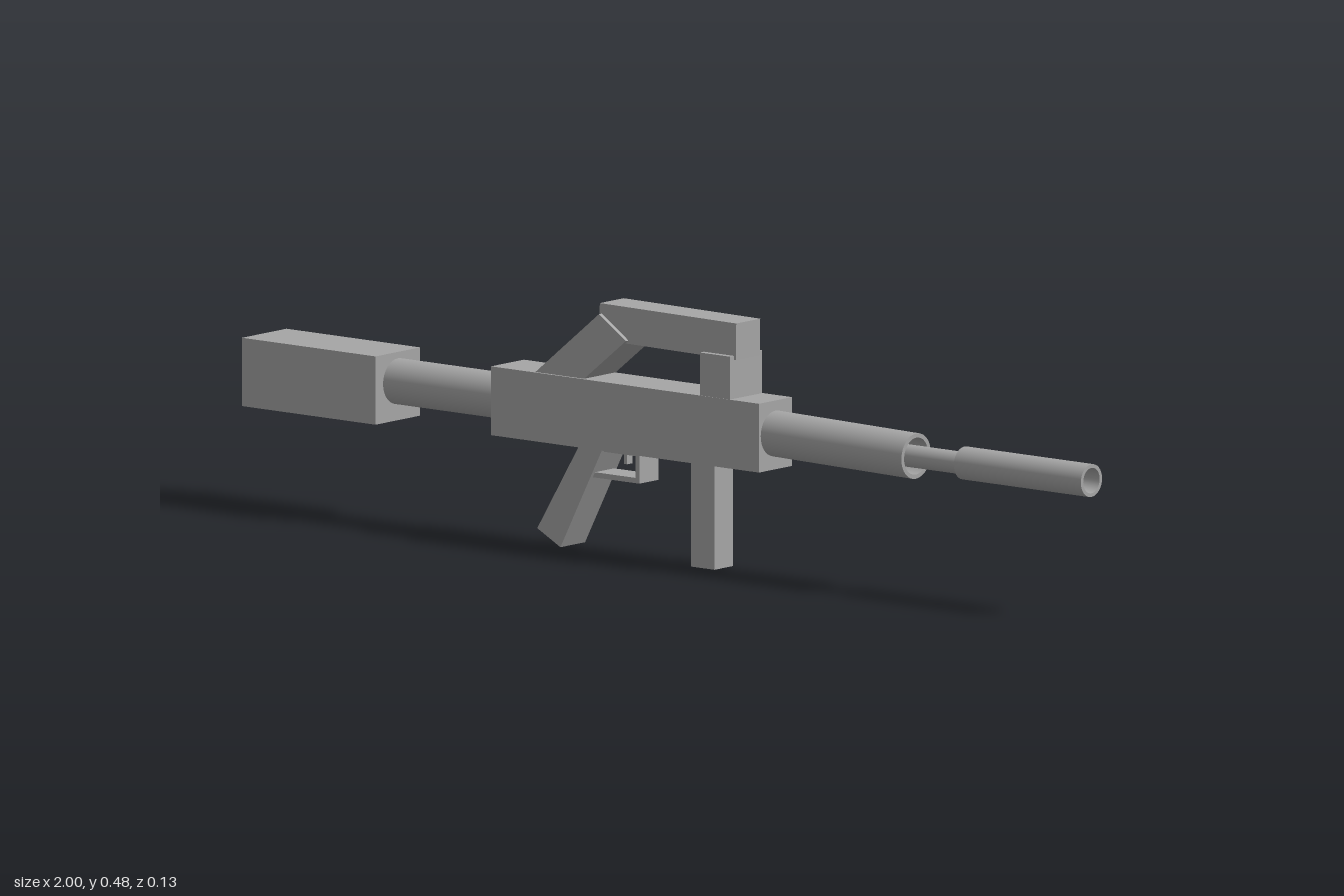
import * as THREE from 'three';

export function createModel() {
  const model = new THREE.Group();
  const grey = new THREE.MeshStandardMaterial({ color: 0xa6a6a6 });
  grey.name = 'grey';

  function add(name, geometry) {
    const mesh = new THREE.Mesh(geometry, grey);
    mesh.name = name;
    model.add(mesh);
    return mesh;
  }

  // Box given by its limits on each axis
  function box(name, [x0, x1], [y0, y1], [z0, z1]) {
    const mesh = add(name, new THREE.BoxGeometry(x1 - x0, y1 - y0, z1 - z0));
    mesh.position.set((x0 + x1) / 2, (y0 + y1) / 2, (z0 + z1) / 2);
    return mesh;
  }

  // Side outline extruded between two z limits, with optional hole
  function plate(name, outline, z0, z1, hole) {
    const toPoints = (list) => list.map(([x, y]) => new THREE.Vector2(x, y));
    const shape = new THREE.Shape(toPoints(outline));
    if (hole) shape.holes.push(new THREE.Path(toPoints(hole)));
    const geometry = new THREE.ExtrudeGeometry(shape, { depth: z1 - z0, bevelEnabled: false });
    return add(name, geometry.translate(0, 0, z0));
  }

  // Round tube along x, with a bore tapering inward from its front end
  function tube(name, x0, x1, y0, y1, radius, bore = 0, depth = 0, boreEnd = 0) {
    const length = Math.hypot(x1 - x0, y1 - y0);
    const profile = [[0, 0], [radius, 0], [radius, length]];
    if (bore) profile.push([bore, length], [boreEnd, length - depth]);
    if (!bore || boreEnd) profile.push([0, length - depth]);
    // Separate bands keep the rims sharp
    const group = new THREE.Group();
    group.name = name;
    for (let i = 0; i < profile.length - 1; i++) {
      const band = [profile[i], profile[i + 1]].map(([r, h]) => new THREE.Vector2(r, h));
      const mesh = new THREE.Mesh(new THREE.LatheGeometry(band, 32), grey);
      mesh.name = name + 'Band' + i;
      group.add(mesh);
    }
    group.position.set(x0, y0, 0);
    group.rotation.z = Math.atan2(y1 - y0, x1 - x0) - Math.PI / 2;
    model.add(group);
  }

  // Stock and body
  box('stock', [-1, -0.677], [0.193, 0.322], [-0.065, 0.065]);
  tube('stockTube', -0.7, -0.4, 0.267, 0.267, 0.043);
  box('receiver', [-0.412, 0.236], [0.2, 0.33], [-0.048, 0.048]);

  // Barrel sections
  tube('foreTube', 0.22, 0.576, 0.268, 0.262, 0.043, 0.035, 0.12, 0.035);
  tube('barrel', 0.4, 0.72, 0.261, 0.261, 0.021);
  tube('muzzle', 0.693, 1, 0.262, 0.262, 0.031, 0.024, 0.28);

  // Carrying handle
  const rail = box('handleBar', [-0.16, 0.17], [0.405, 0.474], [-0.035, 0.035]);
  rail.rotation.z = -0.008;
  box('handlePost', [0.092, 0.165], [0.3, 0.411], [-0.047, 0.047]);
  plate('handleBrace', [[-0.4, 0.255], [-0.345, 0.205], [-0.09, 0.412], [-0.155, 0.456]]
    .map(([x, y]) => [x, y]), -0.049, 0.043);

  // Grips
  plate('rearGrip', [[-0.31, 0.034], [-0.254, 0.004], [-0.145, 0.215], [-0.2, 0.215]], -0.036, 0.036);
  box('frontGrip', [0.054, 0.111], [0, 0.21], [-0.027, 0.027]);

  // Trigger and its guard
  plate('triggerGuard', [[-0.185, 0.143], [-0.07, 0.143], [-0.07, 0.202], [-0.185, 0.202]],
    -0.028, 0.028, [[-0.177, 0.153], [-0.177, 0.194], [-0.079, 0.194], [-0.079, 0.153]]);
  box('trigger', [-0.124, -0.116], [0.172, 0.205], [-0.008, 0.008]);

  return model;
}
